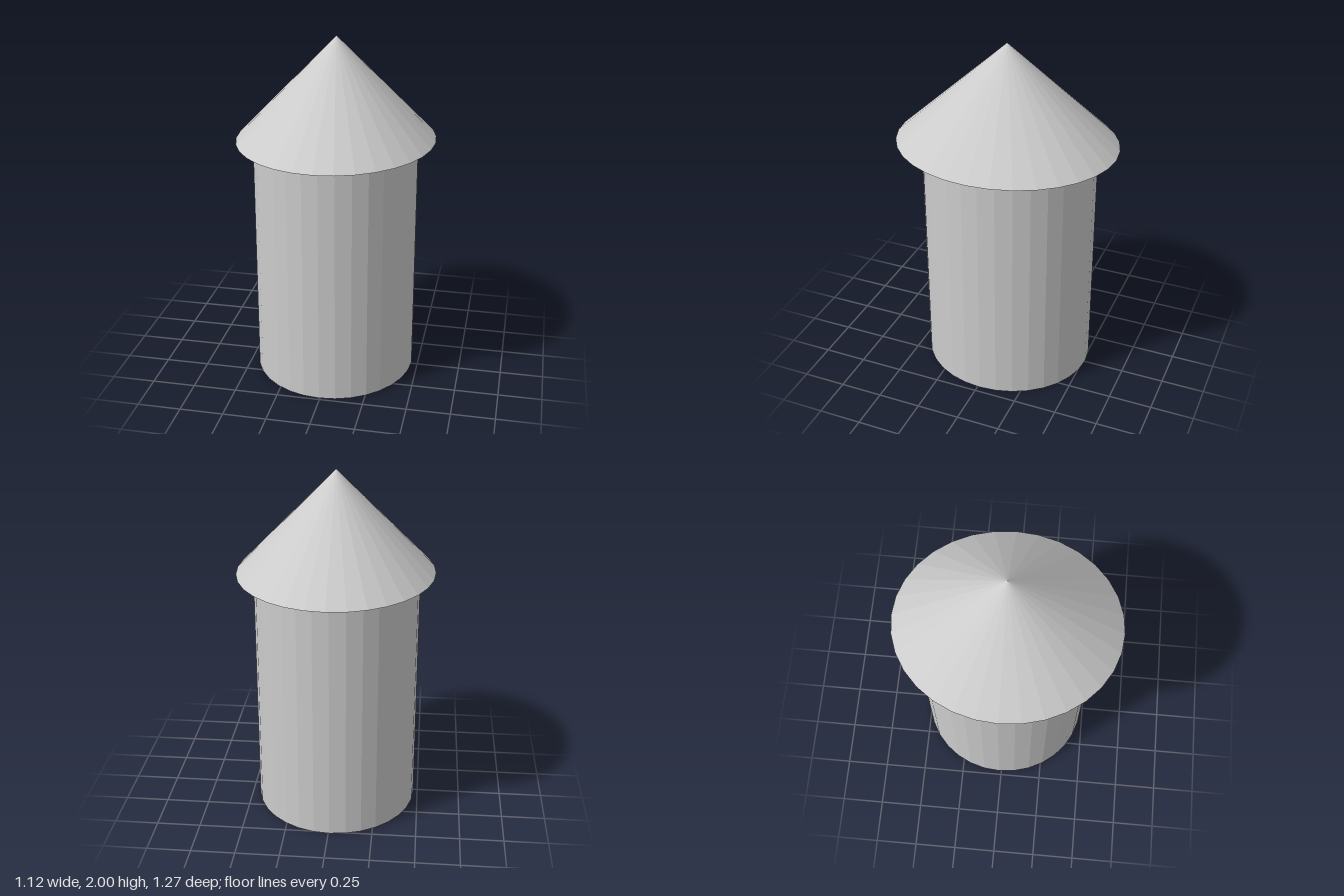
import * as THREE from 'three';

const SIDES = 32;
const EAVES = 1.42;

export function createModel() {
  const model = new THREE.Group();
  model.name = 'roundTower';
  const material = new THREE.MeshStandardMaterial({ color: 0xcccccc, flatShading: true });

  const addPart = (name, geometry, x, y, z) => {
    const mesh = new THREE.Mesh(geometry, material);
    mesh.name = name;
    mesh.position.set(x, y, z);
    model.add(mesh);
  };

  // Slightly oval wall, standing a little off the roof's axis
  const wall = new THREE.CylinderGeometry(1, 1, EAVES, SIDES).scale(0.469, 1, 0.499);
  addPart('wall', wall, -0.006, EAVES / 2, -0.014);

  // Oval conical roof with a closed, overhanging underside
  const roofHeight = 2 - EAVES;
  const roof = new THREE.ConeGeometry(1, roofHeight, SIDES).scale(0.562, 1, 0.637);
  addPart('roof', roof, 0, EAVES + roofHeight / 2, 0);

  return model;
}
